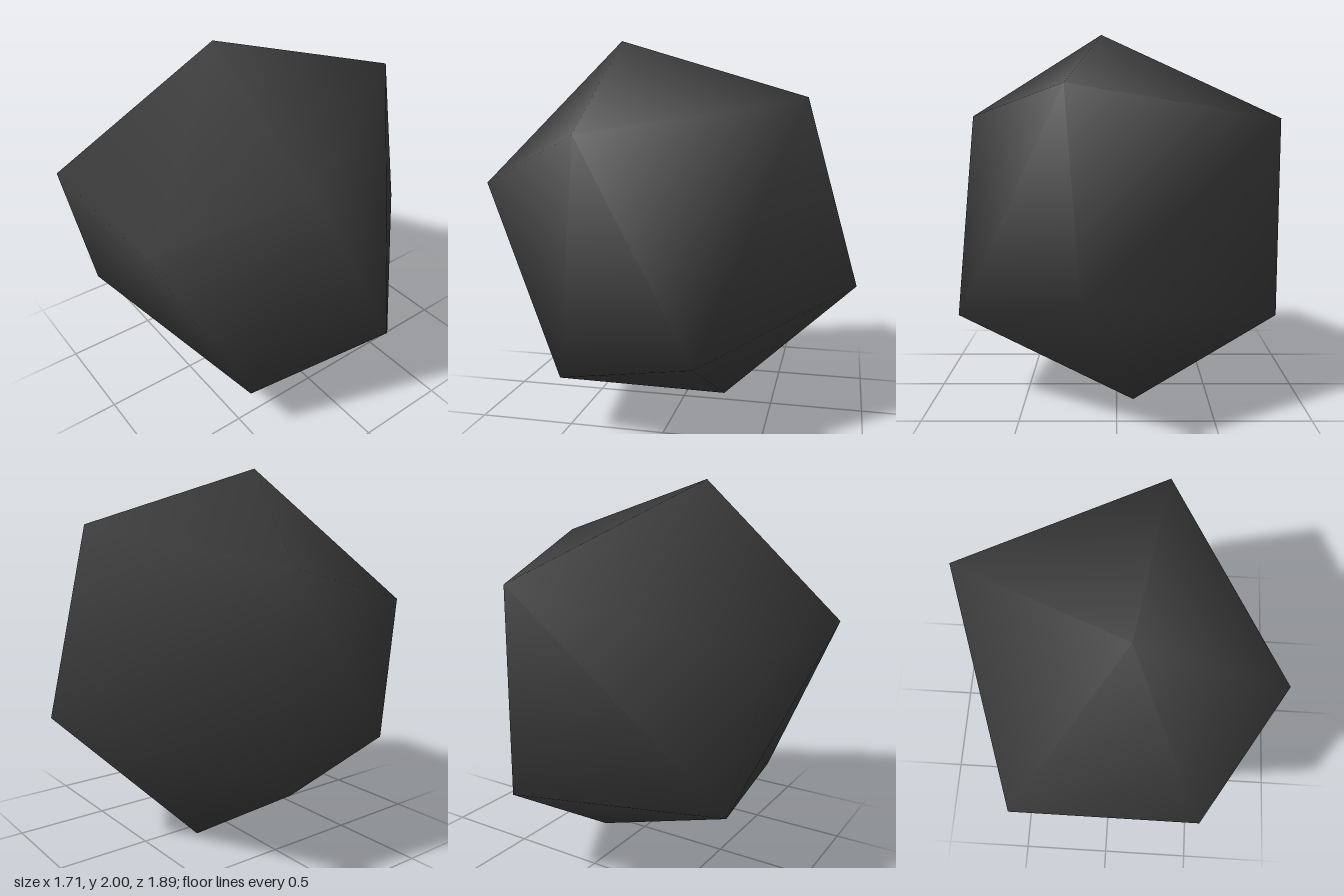
import * as THREE from 'three';
import { ConvexGeometry } from 'three/addons/geometries/ConvexGeometry.js';

export function createModel() {
  const model = new THREE.Group();
  const charcoal = new THREE.MeshStandardMaterial({ color: 0x3b3b3b });
  charcoal.name = 'charcoal';

  // Twelve corners of an uneven twenty-sided ball
  const corners = [
    [0.09, 2, 0.32], [-0.09, 0, -0.22],
    [0.85, 1.53, 0.32], [0.85, 0.48, -0.23],
    [-0.85, 1.53, -0.23], [-0.855, 0.48, -0.23],
    [0.46, 1.265, 0.945], [-0.46, 1.265, 0.945],
    [0.62, 0.3, 0.505], [-0.52, 0.48, 0.78],
    [0.24, 1.7, -0.68], [0.155, 0.74, -0.945],
  ].map((p) => new THREE.Vector3(...p));
  const geometry = new ConvexGeometry(corners);

  // Ball-like normals give the flat faces a smooth, rounded shading
  const centre = new THREE.Vector3(0, 1, 0.04);
  const position = geometry.attributes.position;
  const normal = geometry.attributes.normal;
  const v = new THREE.Vector3();
  for (let i = 0; i < position.count; i++) {
    v.fromBufferAttribute(position, i).sub(centre).normalize();
    normal.setXYZ(i, v.x, v.y, v.z);
  }

  const ball = new THREE.Mesh(geometry, charcoal);
  ball.name = 'facetedBall';
  model.add(ball);
  return model;
}
